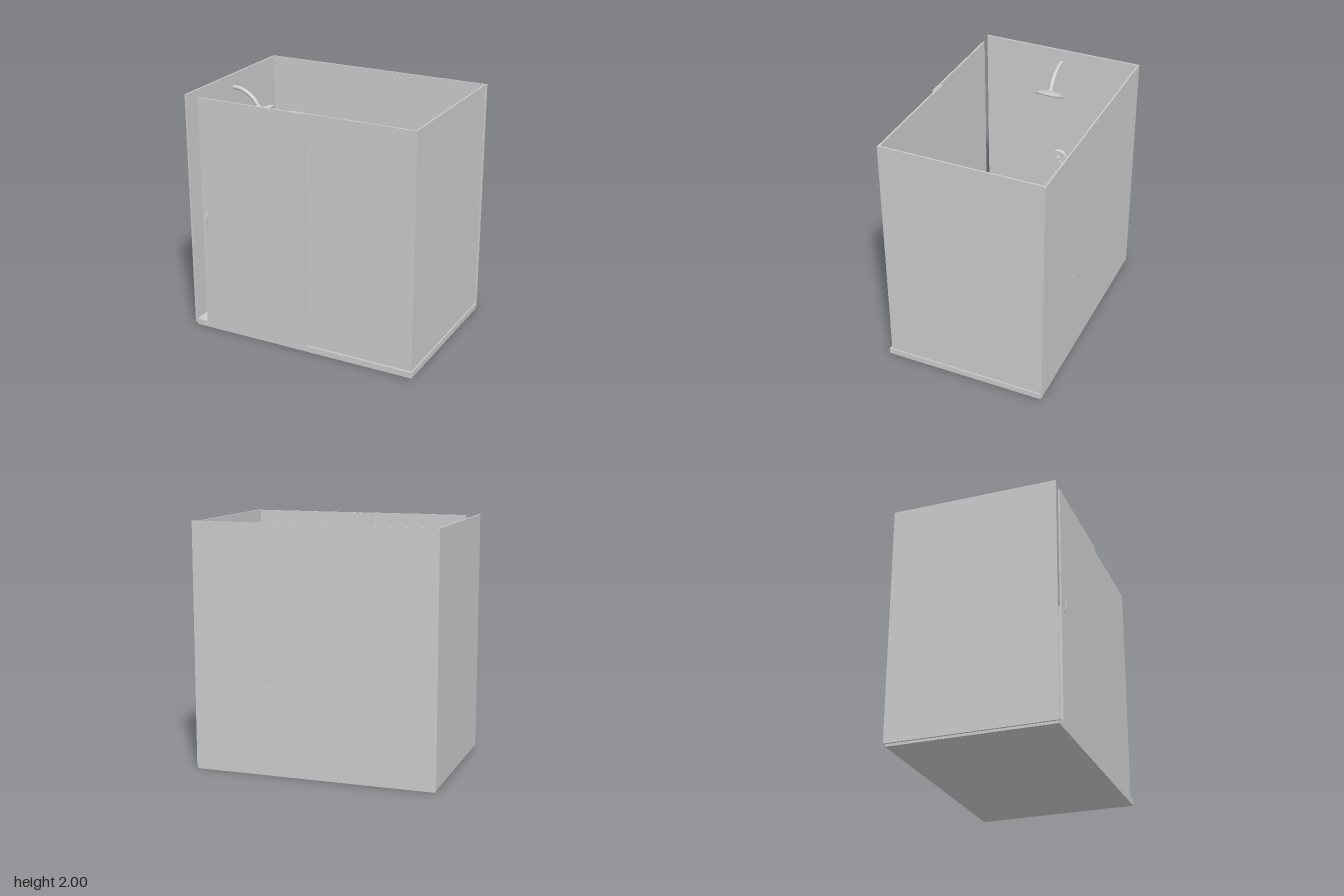
import * as THREE from 'three';

export function createModel() {
  const model = new THREE.Group();
  const mat = new THREE.MeshStandardMaterial({ color: 0xcccccc });

  const add = (name, geometry, parent = model) => {
    const mesh = new THREE.Mesh(geometry, mat);
    mesh.name = name;
    parent.add(mesh);
    return mesh;
  };
  // Box given by its lower and upper limits on each axis
  const box = (name, x0, x1, y0, y1, z0, z1) => {
    const mesh = add(name, new THREE.BoxGeometry(x1 - x0, y1 - y0, z1 - z0));
    mesh.position.set((x0 + x1) / 2, (y0 + y1) / 2, (z0 + z1) / 2);
    return mesh;
  };
  const v = (x, y, z) => new THREE.Vector3(x, y, z);

  // Tray, tiled walls and corner bench
  box('tray', -0.98, 0.985, 0, 0.05, -0.675, 0.667);
  box('backWall', -0.995, 0.99, 0.02, 2, -0.687, -0.675);
  box('sideWall', -0.995, -0.98, 0.02, 2, -0.675, 0.673);
  box('bench', -0.98, -0.51, 0.05, 0.43, -0.675, 0.09);

  // Glass panels; the door slides in front of the fixed one
  box('sideGlass', 0.962, 0.975, 0.05, 1.995, -0.675, 0.65);
  box('fixedGlass', -0.06, 0.962, 0.05, 1.99, 0.636, 0.65);
  box('slidingDoor', -0.88, 0.06, 0.05, 1.99, 0.653, 0.667);

  // Door handle: a small bow on the outside of the door
  const bow = new THREE.CatmullRomCurve3([
    v(-0.833, 0.938, 0.66), v(-0.833, 0.946, 0.678), v(-0.833, 0.965, 0.684),
    v(-0.833, 1.005, 0.684), v(-0.833, 1.024, 0.678), v(-0.833, 1.032, 0.66)]);
  add('doorHandle', new THREE.TubeGeometry(bow, 20, 0.006, 8));

  // Shower arm and tilted head
  const arm = new THREE.CatmullRomCurve3([
    v(-0.98, 1.887, -0.013), v(-0.92, 1.884, -0.013), v(-0.85, 1.855, -0.013),
    v(-0.79, 1.81, -0.013), v(-0.735, 1.735, -0.013)]);
  add('showerArm', new THREE.TubeGeometry(arm, 24, 0.018, 12));
  const headProfile = [[0, -0.012], [0.115, -0.012], [0.125, -0.004], [0.122, 0.006],
    [0.1, 0.018], [0.06, 0.026], [0.028, 0.03], [0.02, 0.045], [0, 0.05]]
    .map(([r, y]) => new THREE.Vector2(r, y));
  const head = add('showerHead', new THREE.LatheGeometry(headProfile, 20));
  head.position.set(-0.728, 1.71, -0.013);
  head.rotation.z = 0.49;

  // Mixer valve on the side wall
  const valve = new THREE.Group();
  valve.name = 'mixerValve';
  valve.position.set(-0.98, 0.96, -0.013);
  valve.rotation.z = -Math.PI / 2;
  model.add(valve);
  const disc = (name, r0, r1, h, y) =>
    add(name, new THREE.CylinderGeometry(r1, r0, h, 24), valve).position.y = y;
  disc('valvePlate', 0.072, 0.066, 0.022, 0.011);
  disc('valveStem', 0.02, 0.017, 0.034, 0.037);
  const lever = add('valveLever', new THREE.CapsuleGeometry(0.008, 0.06, 4, 10));
  lever.position.set(-0.942, 0.925, -0.045);
  lever.rotation.x = 0.8;

  // Shelf on the back wall with rounded front corners and a rectangular opening
  const s = new THREE.Shape();
  const r = 0.03;
  s.moveTo(-0.58, 0.675);
  s.lineTo(-0.58, 0.54 + r);
  s.quadraticCurveTo(-0.58, 0.54, -0.58 + r, 0.54);
  s.lineTo(-0.29 - r, 0.54);
  s.quadraticCurveTo(-0.29, 0.54, -0.29, 0.54 + r);
  s.lineTo(-0.29, 0.675);
  const hole = new THREE.Path();
  hole.moveTo(-0.54, 0.57);
  hole.lineTo(-0.54, 0.628);
  hole.lineTo(-0.44, 0.628);
  hole.lineTo(-0.44, 0.57);
  s.holes.push(hole);
  const shelf = add('shelf', new THREE.ExtrudeGeometry(s, { depth: 0.04, bevelEnabled: false }));
  shelf.rotation.x = -Math.PI / 2;
  shelf.position.y = 0.755;
  const knob = add('shelfKnob', new THREE.CylinderGeometry(0.014, 0.014, 0.03, 16));
  knob.scale.x = 1.8;
  knob.position.set(-0.345, 0.805, -0.59);

  // Grab rail from the shelf, bending back into the wall
  const rail = new THREE.CurvePath();
  rail.add(new THREE.LineCurve3(v(-0.3, 0.773, -0.588), v(0.23, 0.773, -0.588)));
  rail.add(new THREE.QuadraticBezierCurve3(v(0.23, 0.773, -0.588), v(0.335, 0.773, -0.588), v(0.36, 0.773, -0.689)));
  add('grabRail', new THREE.TubeGeometry(rail, 48, 0.019, 12));
  const fixing = add('railFixing', new THREE.CylinderGeometry(0.019, 0.019, 0.006, 16));
  fixing.rotation.x = Math.PI / 2;
  fixing.position.set(0.36, 0.773, -0.687);

  return model;
}
